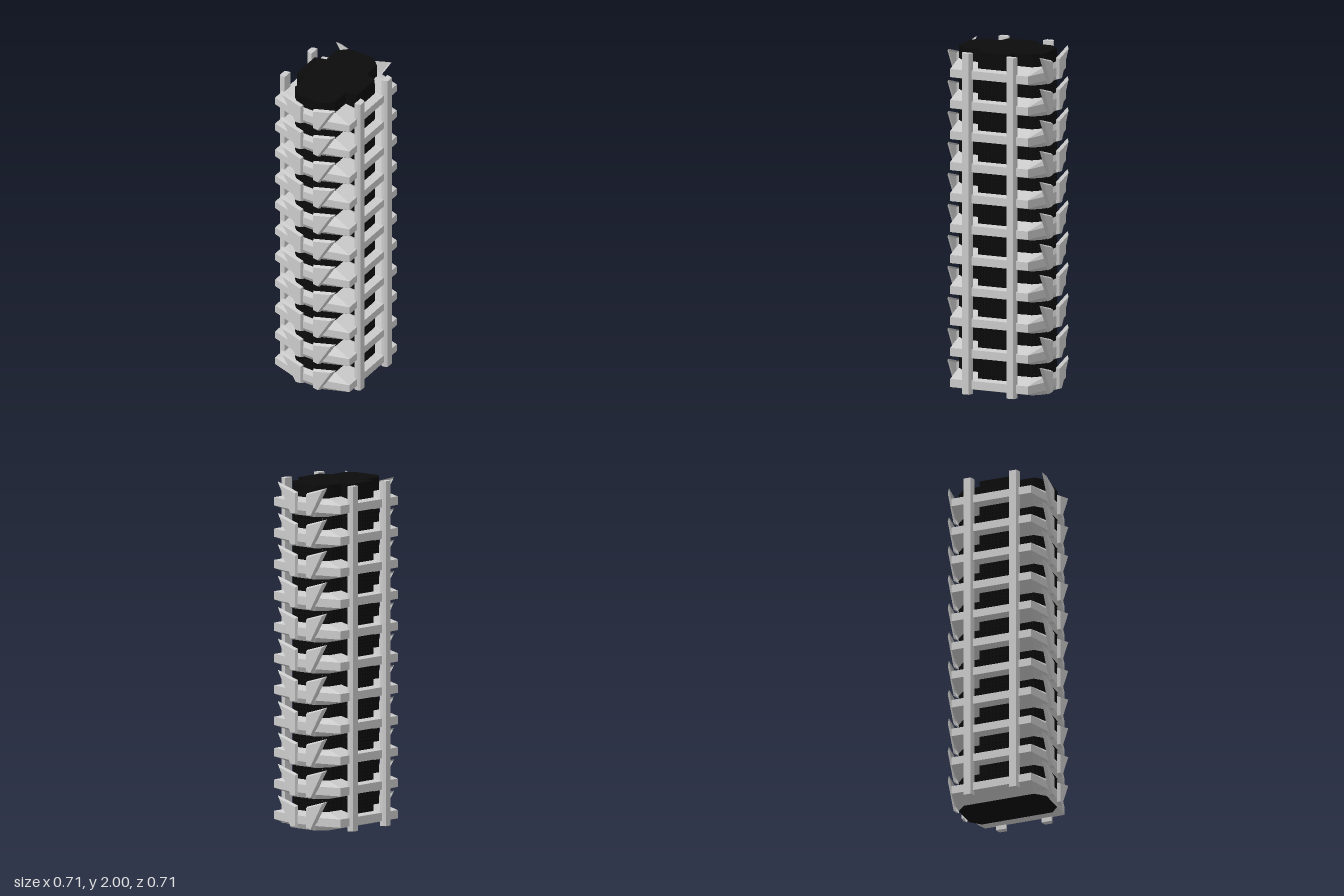
import * as THREE from 'three';
import { mergeGeometries } from 'three/addons/utils/BufferGeometryUtils.js';

const FLOORS = 11;
const PITCH = 2 / FLOORS;
const grey = new THREE.MeshStandardMaterial({ color: 0xcccccc, flatShading: true, side: THREE.DoubleSide });
const black = new THREE.MeshStandardMaterial({ color: 0x0b0b0b, flatShading: true });

// Mirror a quarter outline [u, v, ...extra] into a full loop
function fullLoop(q) {
  const r = [...q].reverse();
  return [
    ...q,
    ...r.map(([u, v, ...e]) => [-u, v, ...e]),
    ...q.map(([u, v, ...e]) => [-u, -v, ...e]),
    ...r.map(([u, v, ...e]) => [u, -v, ...e]),
  ];
}

// Skin between equal-length rings of [x, y, z]; optionally close the last ring
function loft(rings, cap = false) {
  const pos = [];
  for (let i = 0; i < rings.length - 1; i++) {
    const n = rings[i].length;
    for (let j = 0; j < n; j++) {
      const k = (j + 1) % n;
      const a = rings[i][j], b = rings[i][k], c = rings[i + 1][j], d = rings[i + 1][k];
      pos.push(...a, ...c, ...b, ...b, ...c, ...d);
    }
  }
  if (cap) {
    const r = rings[rings.length - 1];
    for (let j = 1; j < r.length - 1; j++) pos.push(...r[0], ...r[j + 1], ...r[j]);
  }
  const g = new THREE.BufferGeometry();
  g.setAttribute('position', new THREE.Float32BufferAttribute(pos, 3));
  g.computeVertexNormals();
  return g;
}

// Upright prism from a plan outline, optionally hollow
function prism(outline, y0, y1, holeScale = 0) {
  const pts = outline.map(([u, v]) => new THREE.Vector2(u, v));
  const shape = new THREE.Shape(pts);
  if (holeScale) shape.holes.push(new THREE.Path(pts.map((p) => p.clone().multiplyScalar(holeScale))));
  const g = new THREE.ExtrudeGeometry(shape, { depth: y1 - y0, bevelEnabled: false });
  return g.rotateX(-Math.PI / 2).translate(0, y0, 0);
}

// Plan outlines: plain core, core with central bays, projecting floor edge
const coreQuarter = [[0.272, 0.081], [0.218, 0.137]];
const core = fullLoop(coreQuarter);
const bayCore = fullLoop([...coreQuarter, [0.11, 0.138], [0.092, 0.205]]);
const edgeQuarter = [[0.29, 0.105], [0.246, 0.255], [0.11, 0.255], [0.09, 0.255]];

// Floor ledge: sloped soffit, thin upright edge, sloped top
function ledgeGeometry(isBase) {
  const at = (q, y) => fullLoop(q.map((p, i) => [...p, y[i]])).map(([u, v, h]) => [u, h, v]);
  const bay = [...coreQuarter, [0.11, 0.138], [0.092, 0.205]];
  const flat = [...coreQuarter, [0.11, 0.137], [0.092, 0.137]];
  return loft([
    isBase ? at(flat, [0, 0, 0, 0]) : at(bay, [0, 0, 0, 0.02]),
    at(edgeQuarter, [0.03, 0.03, 0.03, 0.03]),
    at(edgeQuarter, [0.078, 0.078, 0.078, 0.078]),
    at(bay, [0.107, 0.107, 0.107, 0.085]),
  ]);
}

// Bevelled fin on the end face; s mirrors it across the centre line
function finGeometry(s) {
  const back = [[0.19, 0.18], [0.035, 0.135], [0.035, 0.008], [0.082, 0.002]];
  const front = [[0.165, 0.164], [0.043, 0.128], [0.043, 0.014], [0.076, 0.01]];
  const ring = (pts, x) => {
    const r = pts.map(([v, y]) => [x, y, v * s]);
    return s > 0 ? r.reverse() : r;
  };
  return loft([ring(back, 0.288), ring(front, 0.306)], true);
}

// Upright window bars spaced along the core outline
function barsGeometry() {
  const parts = [];
  bayCore.forEach(([u0, v0], i) => {
    const [u1, v1] = bayCore[(i + 1) % bayCore.length];
    const len = Math.hypot(u1 - u0, v1 - v0);
    const n = Math.max(1, Math.round(len / 0.023));
    for (let j = 0; j < n; j++) {
      const t = j / n;
      const b = new THREE.BoxGeometry(0.011, 1.93, 0.011);
      b.rotateY(-Math.atan2(v1 - v0, u1 - u0));
      b.translate((u0 + (u1 - u0) * t) * 0.97, 1.005, (v0 + (v1 - v0) * t) * 0.97);
      parts.push(b);
    }
  });
  return mergeGeometries(parts);
}

export function createModel() {
  const model = new THREE.Group();
  model.name = 'tower';
  // The plan sits diagonally to the axes
  const body = new THREE.Group();
  body.name = 'towerBody';
  body.rotation.y = Math.PI / 4;
  model.add(body);

  const add = (name, geometry, material, y = 0, turn = 0) => {
    const m = new THREE.Mesh(geometry, material);
    m.name = name;
    m.position.y = y;
    m.rotation.y = turn;
    body.add(m);
  };

  const baseLedge = ledgeGeometry(true);
  const ledge = ledgeGeometry(false);
  const floorCore = mergeGeometries([prism(core, 0, 0.105), prism(bayCore, 0.035, 0.084)]);
  const rails = mergeGeometries(
    [0.09, 0.111, 0.132, 0.153, 0.174, 0.193].map((y) => prism(bayCore, y, y + 0.009, 0.95))
  );
  const fins = mergeGeometries([finGeometry(1), finGeometry(-1)]);

  // Repeating floors
  for (let k = 0; k < FLOORS; k++) {
    const y = k * PITCH;
    add('floorLedge', k ? ledge : baseLedge, grey, y);
    add('floorCore', floorCore, black, y);
    if (k < FLOORS - 1) add('windowRails', rails, black, y);
    add('endFins', fins, grey, y);
    add('endFins', fins, grey, y, Math.PI);
  }
  add('windowBars', barsGeometry(), black);
  add('roofCap', prism(bayCore, 1.903, 2), black);

  // Full-height posts on the long sides
  const postPlan = [[-0.031, 0], [0.031, 0], [0.029, 0.02], [0.021, 0.036], [-0.021, 0.036], [-0.029, 0.02]];
  for (const side of [1, -1]) {
    for (const u of [-0.141, 0.141]) {
      add('post', prism(postPlan.map(([a, b]) => [a + u, (b + 0.24) * side]), 0, 2), grey);
    }
  }
  return model;
}
